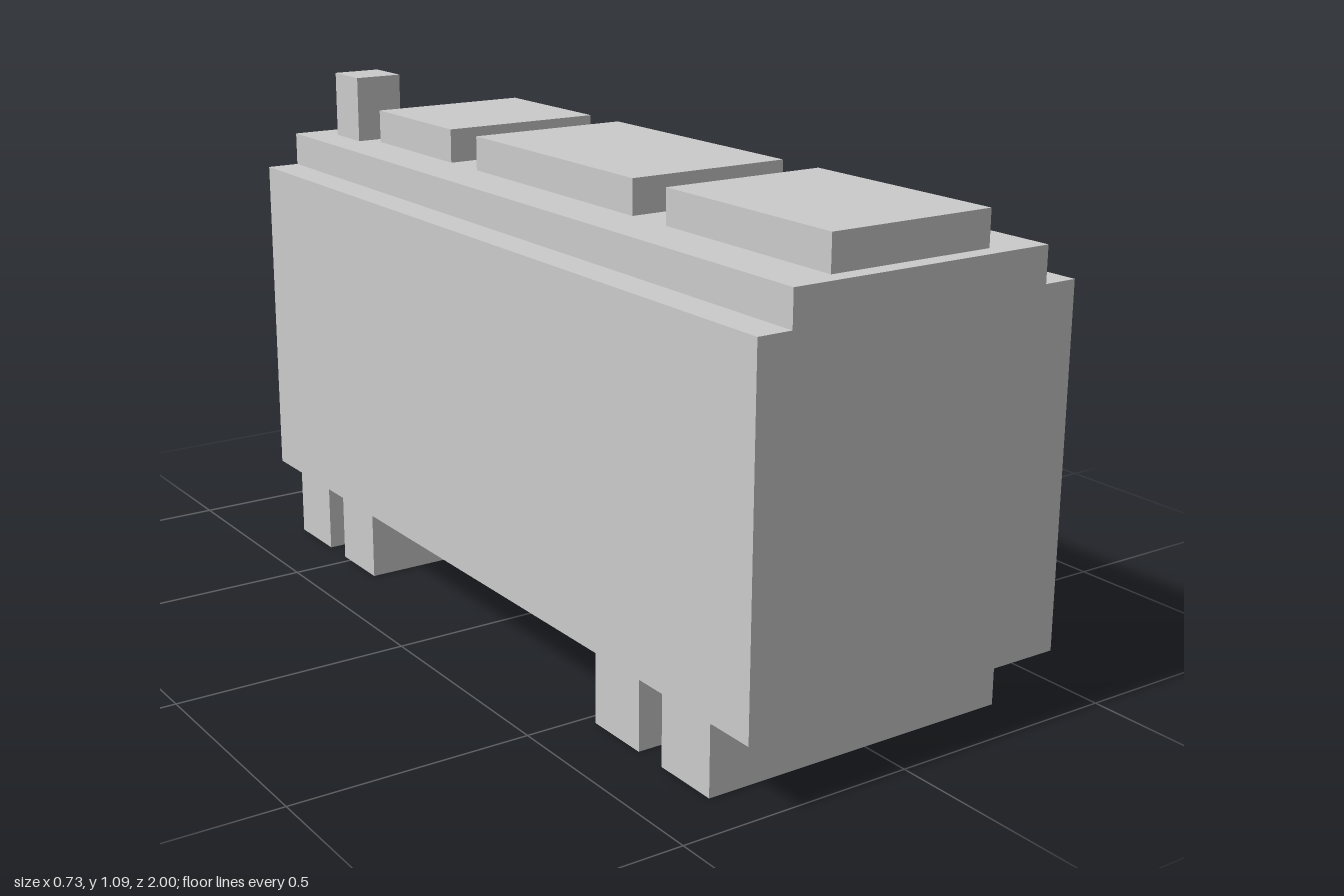
import * as THREE from 'three';

// Everything sits on a block grid: 55 units long, 2 / 55 each.
const U = 2 / 55;
const material = new THREE.MeshStandardMaterial({ color: 0xcccccc, flatShading: true });

// Box from grid limits; z is counted backwards from the front end.
function block(name, [x0, x1], [y0, y1], [z0, z1]) {
  const geometry = new THREE.BoxGeometry((x1 - x0) * U, (y1 - y0) * U, (z1 - z0) * U);
  const mesh = new THREE.Mesh(geometry, material);
  mesh.name = name;
  mesh.position.set((x0 + x1) / 2 * U, (y0 + y1) / 2 * U, 1 - (z0 + z1) / 2 * U);
  return mesh;
}

export function createModel() {
  const model = new THREE.Group();
  model.name = 'railCar';

  // Main hull with a narrower roof step
  model.add(block('body', [-10, 10], [4, 24], [0, 51]));
  model.add(block('roof', [-8, 8], [24, 26], [0, 51]));

  // Raised roof panels
  [[1, 14], [17, 33], [36, 45]].forEach((z, i) =>
    model.add(block(`roofPanel${i + 1}`, [-5, 5], [26, 28], z)));

  // Chimney and rear gangway
  model.add(block('chimney', [-6, -3], [26, 30], [46, 49]));
  model.add(block('rearGangway', [-6, 6], [8, 22], [51, 55]));

  // Wheel bars in two pairs, slightly offset to one side
  [3, 9, 38, 44].forEach((z, i) =>
    model.add(block(`wheelBar${i + 1}`, [-10, 9], [0, 4], [z, z + 4])));

  return model;
}
